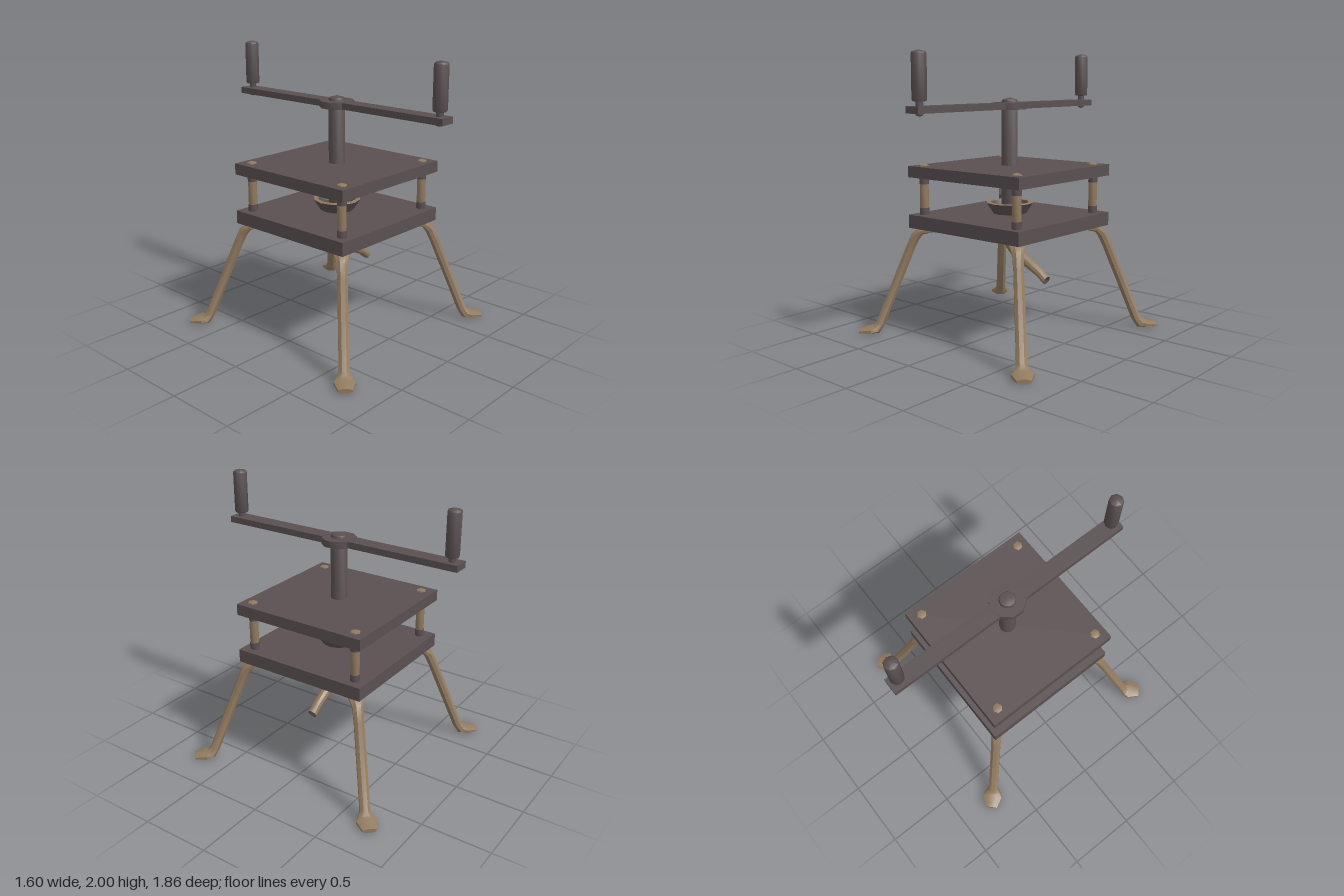
import * as THREE from 'three';
import { toCreasedNormals } from 'three/addons/utils/BufferGeometryUtils.js';

const iron = new THREE.MeshStandardMaterial({ color: 0x5a5052 });
iron.name = 'dark iron';
const bronze = new THREE.MeshStandardMaterial({ color: 0x917a5f });
bronze.name = 'worn bronze';

function add(parent, name, geometry, material, x = 0, y = 0, z = 0) {
  const mesh = new THREE.Mesh(geometry, material);
  mesh.name = name;
  mesh.position.set(x, y, z);
  parent.add(mesh);
  return mesh;
}

// Turned part from [radius, y] pairs, bottom to top
function turned(profile, sides) {
  const points = profile.map(([r, y]) => new THREE.Vector2(r, y));
  return toCreasedNormals(new THREE.LatheGeometry(points, sides), 0.85);
}

// Skin over elliptical sections [x, y, halfThickness, halfWidth, headingDegrees]
function loft(sections, sides) {
  const positions = [], index = [];
  sections.forEach(([x, y, t, w, heading], i) => {
    const h = THREE.MathUtils.degToRad(heading);
    for (let j = 0; j < sides; j++) {
      const a = ((j + 0.5) / sides) * Math.PI * 2;
      const c = Math.cos(a) * t;
      positions.push(x - Math.sin(h) * c, y + Math.cos(h) * c, Math.sin(a) * w);
      if (i === sections.length - 1) continue;
      const p = i * sides + j, q = i * sides + (j + 1) % sides;
      index.push(p, q, q + sides, p, q + sides, p + sides);
    }
  });
  const geometry = new THREE.BufferGeometry();
  geometry.setAttribute('position', new THREE.Float32BufferAttribute(positions, 3));
  geometry.setIndex(index);
  return toCreasedNormals(geometry, 0.6);
}

export function createModel() {
  const model = new THREE.Group();
  model.name = 'screwPress';

  // Two square plates
  add(model, 'lowerPlate', new THREE.BoxGeometry(1.015, 0.095, 1.015), iron, 0, 0.813, 0);
  add(model, 'upperPlate', new THREE.BoxGeometry(1.015, 0.08, 1.015), iron, 0, 1.168, 0);

  // Corner posts with collars and bolt heads
  const collar = turned([[0, 0], [0.033, 0], [0.033, 0.05], [0, 0.05]], 8);
  const sleeve = turned([[0.031, 0], [0.031, 0.17]], 8);
  const bolt = turned([[0.036, 0], [0.034, 0.01], [0, 0.022]], 6);
  for (const x of [-0.427, 0.427]) {
    for (const z of [-0.42, 0.43]) {
      const post = new THREE.Group();
      post.name = 'cornerPost';
      post.position.set(x, 0, z);
      add(post, 'lowerCollar', collar, iron, 0, 0.86, 0);
      add(post, 'postSleeve', sleeve, bronze, 0, 0.91, 0);
      add(post, 'upperCollar', collar, iron, 0, 1.08, 0);
      add(post, 'boltHead', bolt, bronze, 0, 1.205, 0);
      model.add(post);
    }
  }

  // Splayed legs: mounting tab, bent shank and flared foot
  const leg = loft([
    [0.5, 0.752, 0, 0, 0],
    [0.5, 0.752, 0.016, 0.04, 0],
    [0.56, 0.75, 0.018, 0.065, 0],
    [0.63, 0.742, 0.026, 0.055, -20],
    [0.675, 0.7, 0.036, 0.04, -55],
    [0.715, 0.61, 0.034, 0.036, -68],
    [0.935, 0.07, 0.034, 0.038, -66],
    [0.965, 0.03, 0.038, 0.06, -40],
    [1.0, 0.026, 0.028, 0.078, -8],
    [1.085, 0.016, 0.017, 0.05, 0],
    [1.085, 0.016, 0, 0, 0],
  ], 8);
  for (let i = 0; i < 4; i++) {
    add(model, 'leg', leg, bronze).rotation.y = Math.PI / 4 + i * Math.PI / 2;
  }

  // Drain funnel bending into a spout toward the left
  const mouth = [0.338, 0.42, 0.032, 0.034, -26];
  add(model, 'drainFunnel', loft([
    [0.03, 0.768, 0.205, 0.2, -90],
    [0.032, 0.705, 0.135, 0.125, -90],
    [0.045, 0.655, 0.08, 0.075, -85],
    [0.075, 0.595, 0.06, 0.052, -65],
    [0.125, 0.545, 0.042, 0.038, -42],
    [0.2, 0.51, 0.036, 0.036, -28],
    [0.28, 0.465, 0.032, 0.034, -32],
    mouth,
  ], 10), bronze);
  add(model, 'spoutMouth', loft([mouth, [0.32, 0.43, 0, 0, -26]], 10), iron);

  // Pressing dish with a bronze rim
  add(model, 'pressDish', turned([
    [0, 0.862], [0.12, 0.865], [0.17, 0.942], [0.14, 0.942], [0.12, 0.9], [0, 0.9],
  ], 12), iron);
  add(model, 'dishRim', turned([[0.17, 0.942], [0.168, 0.946], [0.138, 0.946], [0.137, 0.942]], 12), bronze);

  // Central screw with domed end
  add(model, 'screwShaft', turned([[0, 0.89], [0.058, 0.89], [0.058, 1.66], [0.052, 1.672], [0, 1.686]], 10), iron);

  // Turning bar with hub
  add(model, 'turningBar', new THREE.BoxGeometry(0.115, 0.045, 1.855), iron, -0.003, 1.628, 0.002);
  add(model, 'barHub', turned([[0, 1.604], [0.122, 1.604], [0.122, 1.652], [0, 1.652]], 10), iron);

  // Upright grips on both ends of the bar
  const grip = turned([[0, 1.678], [0.044, 1.682], [0.049, 1.695], [0.049, 1.978], [0.043, 1.988], [0, 2]], 8);
  const pin = turned([[0, 1.585], [0.024, 1.593], [0.024, 1.69]], 8);
  for (const z of [-0.86, 0.867]) {
    add(model, 'grip', grip, iron, 0, 0, z);
    add(model, 'gripPin', pin, iron, 0, 0, z);
  }

  return model;
}
